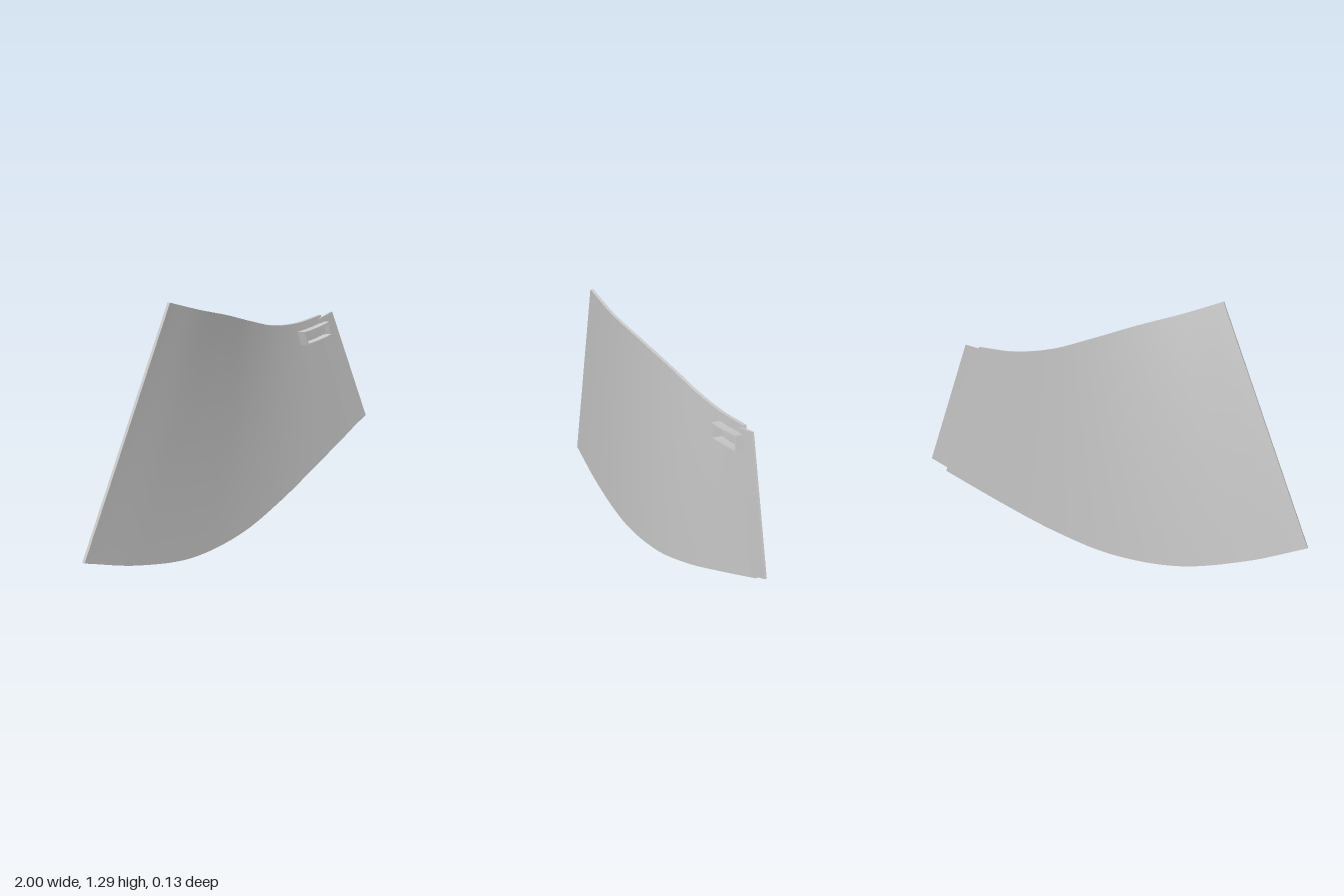
import * as THREE from 'three';
import { mergeGeometries } from 'three/addons/utils/BufferGeometryUtils.js';

const curve = (pts) => new THREE.CatmullRomCurve3(pts.map((p) => new THREE.Vector3(...p)));

// Smooth grid of quads from a rule p(s, t); s runs right and t runs up when seen from outside
function grid(p, ns, nt) {
  const pos = [], index = [];
  for (let j = 0; j <= nt; j++) {
    for (let i = 0; i <= ns; i++) pos.push(...p(i / ns, j / nt).toArray());
  }
  for (let j = 0; j < nt; j++) {
    for (let i = 0; i < ns; i++) {
      const a = j * (ns + 1) + i, d = a + ns + 1;
      index.push(a, a + 1, d + 1, a, d + 1, d);
    }
  }
  const g = new THREE.BufferGeometry();
  g.setAttribute('position', new THREE.Float32BufferAttribute(pos, 3));
  g.setIndex(index);
  g.computeVertexNormals();
  return g;
}

// Closed sheet ruled between a lower and an upper curve
function sheet(lower, upper, thickness, ns, nt) {
  const p = (s, t, side) => {
    const v = lower.getPoint(s).lerp(upper.getPoint(s), t);
    v.z += side * thickness / 2;
    return v;
  };
  return mergeGeometries([
    grid((s, t) => p(s, t, 1), ns, nt),
    grid((s, t) => p(1 - s, t, -1), ns, nt),
    grid((s, t) => p(s, 1, 1 - 2 * t), ns, 1),
    grid((s, t) => p(s, 0, 2 * t - 1), ns, 1),
    grid((s, t) => p(0, t, 2 * s - 1), 1, nt),
    grid((s, t) => p(1, t, 1 - 2 * s), 1, nt),
  ]);
}

export function createModel() {
  const model = new THREE.Group();
  model.name = 'curvedPanel';
  const grey = new THREE.MeshStandardMaterial({ color: 0xc8c8c8 });
  grey.name = 'lightGrey';
  const add = (name, geometry) => {
    const mesh = new THREE.Mesh(geometry, grey);
    mesh.name = name;
    model.add(mesh);
    return mesh;
  };

  // Main twisted panel
  const lower = curve([
    [-1, 0.153, -0.06], [-0.7, 0.06, -0.034], [-0.35, 0.001, -0.013], [0, 0.032, -0.003],
    [0.3, 0.126, 0], [0.6, 0.255, 0.004], [0.905, 0.397, 0.012],
  ]);
  const upper = curve([
    [-0.55, 1.293, 0.058], [-0.35, 1.232, 0.05], [-0.13, 1.173, 0.02], [0.1, 1.104, -0.02],
    [0.29, 1.053, -0.043], [0.49, 1.035, -0.052], [0.68, 1.052, -0.047],
  ]);
  add('panel', sheet(lower, upper, 0.016, 60, 12));

  // Joining strip lapped over the front of the short edge
  const stripLower = new THREE.LineCurve3(
    new THREE.Vector3(0.88, 0.4, 0.023), new THREE.Vector3(1, 0.455, 0.033));
  const stripUpper = new THREE.LineCurve3(
    new THREE.Vector3(0.66, 1.036, -0.036), new THREE.Vector3(0.763, 1.06, -0.033));
  add('joiningStrip', sheet(stripLower, stripUpper, 0.01, 2, 4));

  // Raised, slightly bowed rectangular collar, slanted towards the bottom right
  const outline = (path, inset) => {
    const w = 0.103 - inset, h = 0.038 - inset;
    const lean = 0.15 * h;
    path.moveTo(-w + lean, -h);
    path.quadraticCurveTo(lean, -h - 0.008, w + lean, -h);
    path.lineTo(w - lean, h);
    path.quadraticCurveTo(-lean, h - 0.008, -w - lean, h);
    path.closePath();
    return path;
  };
  const shape = outline(new THREE.Shape(), 0);
  shape.holes.push(outline(new THREE.Path(), 0.009));
  const collar = add('collar', new THREE.ExtrudeGeometry(shape, {
    depth: 0.052, bevelEnabled: false, curveSegments: 8,
  }));
  collar.position.set(0.603, 0.965, -0.041);
  collar.rotation.set(-0.1, -0.03, 0.12);

  return model;
}
